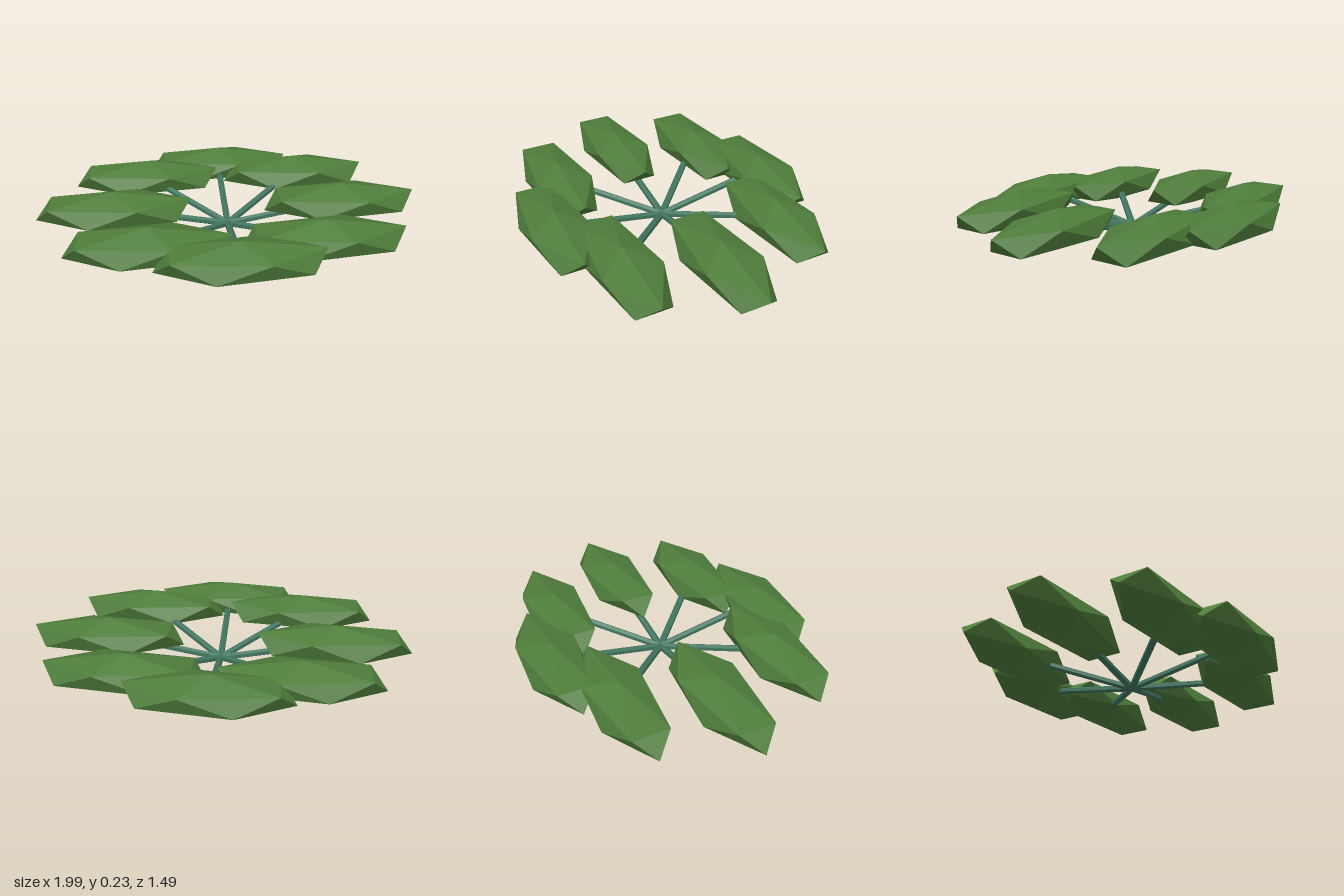
import * as THREE from 'three';

export function createModel() {
  const model = new THREE.Group();
  const leafGreen = new THREE.MeshStandardMaterial({ color: 0x4f7d3b, flatShading: true });
  leafGreen.name = 'leaf green';
  const stemGreen = new THREE.MeshStandardMaterial({ color: 0x427660, flatShading: true });
  stemGreen.name = 'stem green';

  // Leaf clump: icosahedron stood on a corner, then stretched along x
  const leafShape = new THREE.IcosahedronGeometry(1, 0);
  leafShape.rotateZ(-Math.atan(2 / (1 + Math.sqrt(5))));
  leafShape.scale(0.447, 0.0975, 0.176);
  leafShape.computeVertexNormals();

  // Stem: thin six-sided rod running from the origin along +z
  const hub = new THREE.Vector3(0, 0.018, 0);
  const reach = 0.595, leafHeight = 0.128;
  const stemLength = Math.hypot(reach, leafHeight - hub.y);
  const stemShape = new THREE.CylinderGeometry(0.018, 0.018, stemLength, 6);
  stemShape.rotateX(Math.PI / 2);
  stemShape.translate(0, 0, stemLength / 2);

  // Eight stems fan out from the hub, each carrying a leaf; leaves all stay parallel to x
  for (let i = 0; i < 8; i++) {
    const angle = (i * Math.PI) / 4;
    const tip = new THREE.Vector3(Math.cos(angle) * reach, leafHeight, Math.sin(angle) * reach);

    const stem = new THREE.Mesh(stemShape, stemGreen);
    stem.name = `stem${i + 1}`;
    stem.position.copy(hub);
    stem.lookAt(tip);

    const leaf = new THREE.Mesh(leafShape, leafGreen);
    leaf.name = `leafClump${i + 1}`;
    leaf.position.copy(tip);

    model.add(stem, leaf);
  }
  return model;
}
